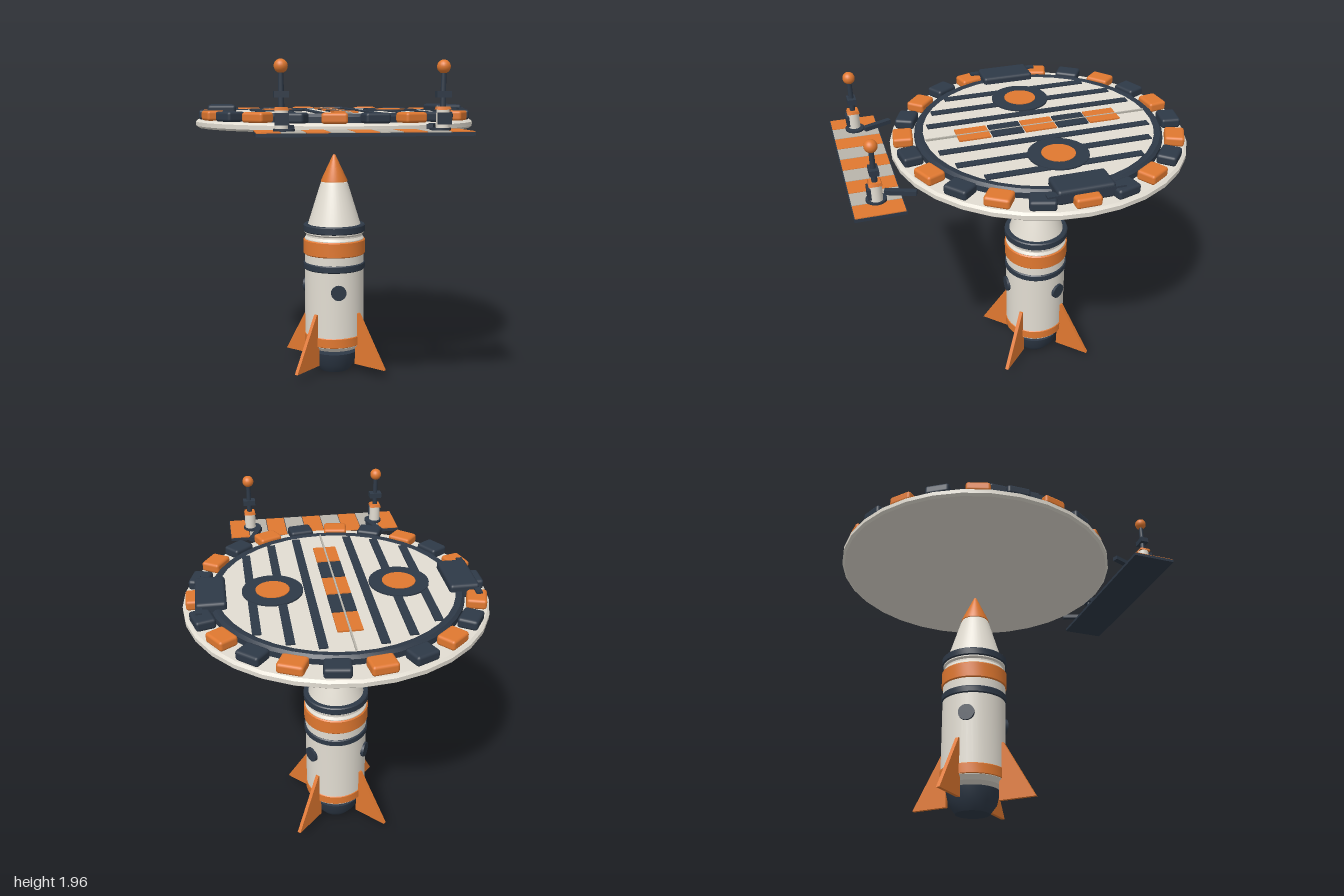
import * as THREE from 'three';
import { toCreasedNormals } from 'three/addons/utils/BufferGeometryUtils.js';
import { RoundedBoxGeometry } from 'three/addons/geometries/RoundedBoxGeometry.js';

const mat = (name, color) => {
  const m = new THREE.MeshStandardMaterial({ color });
  m.name = name;
  return m;
};

export function createModel() {
  const orange = mat('orange', 0xe07830);
  const navy = mat('navy', 0x2e3947);
  const cream = mat('cream', 0xe2ddd2);
  const grey = mat('grey', 0xb8b4aa);

  const model = new THREE.Group();
  model.name = 'rocketAndPad';

  const add = (parent, name, geo, material, x = 0, y = 0, z = 0) => {
    const m = new THREE.Mesh(geo, material);
    m.name = name;
    m.position.set(x, y, z);
    parent.add(m);
    return m;
  };
  const box = (w, h, d) => new THREE.BoxGeometry(w, h, d);
  const cyl = (r0, r1, h, n = 24) => new THREE.CylinderGeometry(r1, r0, h, n);
  // Profile points run [radius, y] from bottom to top
  const lathe = (pts, n = 40) => toCreasedNormals(
    new THREE.LatheGeometry(pts.map(([r, y]) => new THREE.Vector2(r, y)), n), 0.5);
  const band = (r, y0, y1, b = 0.006) =>
    lathe([[0, y0], [r - b, y0], [r, y0 + b], [r, y1 - b], [r - b, y1], [0, y1]]);

  const main = new THREE.Group();
  main.name = 'mainAxis';
  main.position.z = -0.143;
  model.add(main);

  // ---- Rocket ----
  const rocket = new THREE.Group();
  rocket.name = 'rocket';
  main.add(rocket);
  add(rocket, 'nozzle', lathe([[0, 0], [0.1, 0], [0.14, 0.055], [0.157, 0.132], [0, 0.132]]), navy);
  add(rocket, 'hull', lathe([[0, 0.158], [0.165, 0.158], [0.19, 0.185], [0.19, 0.875], [0.18, 0.89],
    [0.18, 0.9], [0.19, 0.91], [0.19, 0.955], [0.168, 0.965], [0.09, 1.215], [0.083, 1.232], [0, 1.232]]), cream);
  add(rocket, 'noseCone', lathe([[0, 1.235], [0.084, 1.235], [0.084, 1.243], [0.008, 1.405], [0, 1.408]]), orange);
  add(rocket, 'tailBand', band(0.194, 0.185, 0.252), orange);
  add(rocket, 'lowerBand', band(0.198, 0.675, 0.72), navy);
  add(rocket, 'middleBand', band(0.198, 0.772, 0.87), orange);
  add(rocket, 'upperBand', band(0.198, 0.917, 0.965), navy);

  // Three portholes around the hull
  for (let i = 0; i < 3; i++) {
    const a = i * Math.PI * 2 / 3;
    const p = add(rocket, 'porthole', cyl(0.048, 0.048, 0.03).rotateX(Math.PI / 2), navy,
      Math.sin(a) * 0.188, 0.55, Math.cos(a) * 0.188);
    p.rotation.y = a;
  }

  // Four swept fins on the diagonals
  const finShape = new THREE.Shape([[0.172, 0.06], [0.398, 0.06], [0.2, 0.4], [0.18, 0.4]]
    .map(([x, y]) => new THREE.Vector2(x, y)));
  const finGeo = new THREE.ExtrudeGeometry(finShape, { depth: 0.022, bevelEnabled: false }).translate(0, 0, -0.011);
  for (let i = 0; i < 4; i++) {
    add(rocket, 'fin', finGeo, orange).rotation.y = Math.PI / 4 + i * Math.PI / 2;
  }

  // ---- Round pad ----
  const pad = new THREE.Group();
  pad.name = 'pad';
  main.add(pad);
  add(pad, 'padRim', lathe([[0, 1.584], [0.842, 1.584], [0.857, 1.596], [0.857, 1.62],
    [0.842, 1.632], [0, 1.632]], 32), cream);
  add(pad, 'deck', cyl(0.67, 0.67, 0.05, 40), cream, 0, 1.653, 0);
  add(pad, 'deckRing', lathe([[0.715, 1.63], [0.715, 1.665], [0.7, 1.682], [0.675, 1.682], [0.66, 1.676]]), navy);

  // Alternating blocks around the rim
  const blockGeo = new RoundedBoxGeometry(0.142, 0.058, 0.112, 2, 0.016);
  for (let k = 0; k < 22; k++) {
    const a = (k + 0.5) * Math.PI / 11;
    const b = add(pad, 'rimBlock', blockGeo, k % 2 ? orange : navy,
      Math.sin(a) * 0.78, 1.66, -Math.cos(a) * 0.78);
    b.rotation.y = -a;
  }

  // Deck stripes, landing discs and side housings, mirrored
  for (const s of [-1, 1]) {
    for (const [x, half] of [[0.158, 0.62], [0.317, 0.562], [0.477, 0.446]]) {
      add(pad, 'deckStripe', box(0.048, 0.008, half * 2), navy, s * x, 1.681, 0);
    }
    add(pad, 'landingDisc', cyl(0.17, 0.17, 0.009, 32), navy, s * 0.357, 1.684, 0);
    add(pad, 'landingDiscCentre', cyl(0.095, 0.095, 0.009, 20), orange, s * 0.357, 1.688, 0);
    add(pad, 'sideHousing', new RoundedBoxGeometry(0.168, 0.085, 0.315, 2, 0.018), navy, s * 0.698, 1.677, -0.005);
    add(pad, 'sideRail', box(0.035, 0.035, 0.425), navy, s * 0.765, 1.682, -0.005);
  }

  // Centre line of tiles, split by a seam
  for (let i = -2; i <= 2; i++) {
    for (const s of [-1, 1]) {
      add(pad, 'centreTile', box(0.062, 0.009, 0.185), i % 2 ? navy : orange, s * 0.037, 1.684, i * 0.195);
    }
  }
  add(pad, 'centreSeam', box(0.01, 0.012, 1.32), grey, 0, 1.683, 0);

  // ---- Front gangway ----
  const gangway = new THREE.Group();
  gangway.name = 'gangway';
  model.add(gangway);
  add(gangway, 'gangwayBase', box(1.1, 0.018, 0.27), navy, 0, 1.591, 0.865);
  for (let i = -4; i <= 4; i++) {
    add(gangway, 'gangwayPlank', box(0.118, 0.006, 0.26), i % 2 ? grey : orange, i * 0.122, 1.602, 0.865);
  }

  // Connecting arms and beacon posts, mirrored
  for (const s of [-1, 1]) {
    const arm = add(gangway, 'connectingArm', box(0.032, 0.025, 0.17), navy, s * 0.39, 1.62, 0.735);
    arm.rotation.y = -s * 0.36;

    const post = new THREE.Group();
    post.name = 'beaconPost';
    post.position.set(s * 0.415, 0, 0.865);
    gangway.add(post);
    add(post, 'postFoot', cyl(0.055, 0.055, 0.015), navy, -s * 0.012, 1.609, 0);
    add(post, 'postBase', cyl(0.034, 0.034, 0.1), cream, 0, 1.66, 0);
    add(post, 'controlBox', box(0.07, 0.06, 0.018), navy, 0, 1.665, 0.036);
    add(post, 'postPlate', cyl(0.05, 0.042, 0.016, 4).rotateY(Math.PI / 4), orange, 0, 1.717, 0);
    add(post, 'mast', cyl(0.016, 0.013, 0.19, 12), navy, 0, 1.81, 0);
    add(post, 'mastBracket', box(0.075, 0.032, 0.05), navy, 0, 1.787, 0);
    add(post, 'beacon', new THREE.SphereGeometry(0.035, 20, 14), orange, 0, 1.926, 0);
  }

  return model;
}
